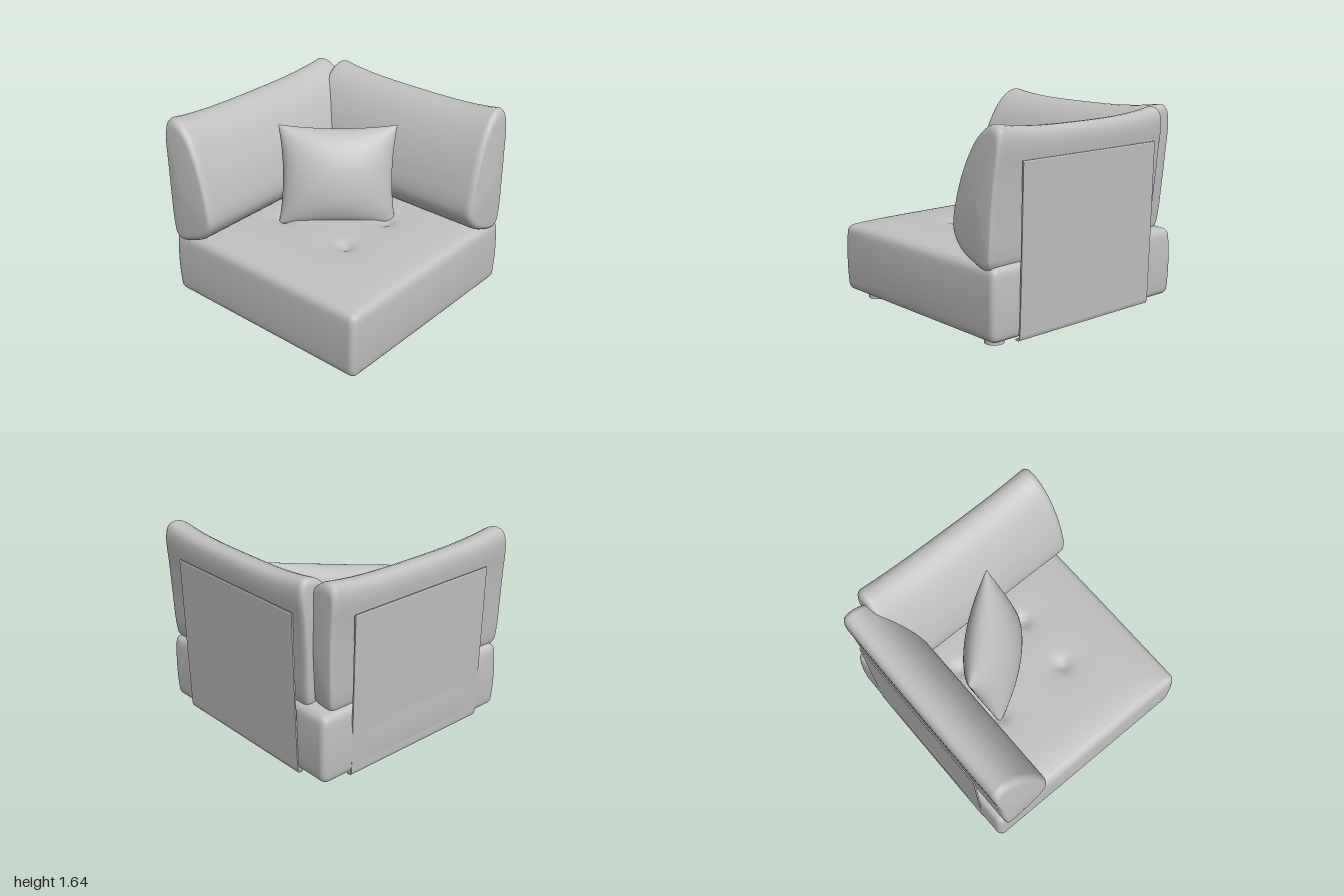
import * as THREE from 'three';
import { mergeVertices } from 'three/addons/utils/BufferGeometryUtils.js';

const fabric = new THREE.MeshStandardMaterial({ color: 0xc0c0c0 });
fabric.name = 'light grey';

function add(parent, name, geometry) {
  const mesh = new THREE.Mesh(geometry, fabric);
  mesh.name = name;
  parent.add(mesh);
  return mesh;
}

// Weld seams so that soft shapes shade smoothly
function smooth(geometry) {
  geometry.deleteAttribute('normal');
  geometry.deleteAttribute('uv');
  const welded = mergeVertices(geometry, 1e-5);
  welded.computeVertexNormals();
  return welded;
}

// Seat block: rounded box with puffed top, bulging sides and four tufts
function seatGeometry() {
  const half = new THREE.Vector3(0.95, 0.28, 0.965), r = 0.055;
  const g = new THREE.BoxGeometry(2, 2, 2, 84, 18, 84);
  const p = g.attributes.position;
  const v = new THREE.Vector3(), inner = new THREE.Vector3();
  const limit = half.clone().subScalar(r);
  for (let i = 0; i < p.count; i++) {
    v.fromBufferAttribute(p, i);
    for (const k of ['x', 'y', 'z']) v[k] = Math.sin(v[k] * Math.PI / 2) * half[k];
    inner.copy(v).clamp(limit.clone().negate(), limit);
    v.sub(inner).normalize().multiplyScalar(r);
    const onSurface = inner.add(v);
    const a = onSurface.x / half.x, b = onSurface.y / half.y, c = onSurface.z / half.z;
    let { x, y, z } = onSurface;
    x += a * 0.013 * (1 - b * b);
    z += c * 0.018 * (1 - b * b) * (1 - 0.5 * a * a);
    if (b > 0) {
      y += b * 0.055 * (1 - a ** 6) * (1 - c ** 6);
      for (const tx of [-0.26, 0.26]) for (const tz of [-0.38, 0.3]) {
        const d = Math.hypot(x - tx, z - tz);
        y -= b * (0.04 * Math.exp(-((d / 0.06) ** 2)) + 0.015 * Math.exp(-((d / 0.16) ** 2)));
      }
    }
    p.setXYZ(i, x, y + 0.34, z + 0.005);
  }
  return smooth(g);
}

// Wedge cushion: a leaning profile lofted along z with rounded ends
function cushionGeometry(centre, half, lean) {
  const profile = new THREE.CatmullRomCurve3([
    [0.86, 0.585], [0.73, 0.62], [0.58, 0.70], [0.495, 0.83], [0.525, 1.08], [0.63, 1.35], [0.76, 1.53],
    [0.88, 1.595], [0.965, 1.58], [0.988, 1.5], [0.965, 1.25], [0.945, 1.0], [0.925, 0.7], [0.905, 0.61],
  ].map(([x, y]) => new THREE.Vector3(x, y, 0)), true).getSpacedPoints(64).slice(0, 64);

  // Stations along the length: [position, section scale]
  const end = [];
  for (let i = 1; i <= 7; i++) {
    const a = i / 7 * Math.PI / 2;
    end.push([0.92 + 0.065 * Math.sin(a), 1 - 0.13 * (1 - Math.cos(a))]);
  }
  end.push([0.992, 0.65], [0.997, 0.3], [1, 0.001]);
  const rings = end.map(([t, f]) => [-t, f]).reverse();
  for (let i = 0; i <= 24; i++) rings.push([-0.92 + 1.84 * i / 24, 1]);
  rings.push(...end);

  const pos = [], index = [], n = profile.length;
  rings.forEach(([t, f], i) => profile.forEach((q, j) => {
    const x = 0.79 + (q.x - 0.79) * f;
    let y = 1.05 + (q.y - 1.05) * f;
    const up = (y - 1.1) / 0.5;
    if (up > 0) y += up * 0.06 * Math.abs(t) ** 3;
    pos.push(x, y, centre + t * (half - 0.015 * up * up) + lean * 0.022 * up);
    if (i < rings.length - 1) {
      const a = i * n + j, b = i * n + (j + 1) % n;
      index.push(a, a + n, b, b, a + n, b + n);
    }
  }));
  const g = new THREE.BufferGeometry();
  g.setAttribute('position', new THREE.Float32BufferAttribute(pos, 3));
  g.setIndex(index);
  g.computeVertexNormals();
  return g;
}

// Thin leaning support panel with a small lip hooked under the seat
function panelGeometry(from, to) {
  const s = new THREE.Shape([
    [0.915, 0.038], [0.945, 0.038], [0.958, 0.044], [0.966, 0.07], [0.982, 0.6], [1, 1.37], [0.997, 1.38],
    [0.989, 1.38], [0.986, 1.37], [0.97, 0.6], [0.954, 0.075], [0.945, 0.052], [0.915, 0.05],
  ].map(([x, y]) => new THREE.Vector2(x, y)));
  const g = new THREE.ExtrudeGeometry(s, { depth: to - from, bevelEnabled: false });
  return g.translate(0, 0, from);
}

// Square scatter pillow with concave edges and pointed corners
function pillowGeometry(w, h, thick) {
  const g = new THREE.BoxGeometry(2, 2, 2, 40, 40, 1);
  const p = g.attributes.position;
  for (let i = 0; i < p.count; i++) {
    const a = Math.sin(p.getX(i) * Math.PI / 2), b = Math.sin(p.getY(i) * Math.PI / 2);
    const puff = Math.sqrt(Math.max(0, (1 - a * a) * (1 - b * b)));
    p.setXYZ(i,
      a * w / 2 * (1 - 0.08 * (1 - b * b)),
      b * h / 2 * (1 - 0.08 * (1 - a * a)),
      p.getZ(i) * thick / 2 * puff);
  }
  return smooth(g);
}

export function createModel() {
  const model = new THREE.Group();
  model.name = 'cornerSofaModule';

  add(model, 'seat', seatGeometry());

  // Side and back share one construction, turned a quarter for the back
  add(model, 'sideCushion', cushionGeometry(0.105, 0.885, -1));
  add(model, 'backCushion', cushionGeometry(-0.055, 0.945, 1)).rotation.y = Math.PI / 2;
  add(model, 'sidePanel', panelGeometry(-0.67, 0.73));
  add(model, 'backPanel', panelGeometry(-0.71, 0.685)).rotation.y = Math.PI / 2;

  // Scatter pillow leaning into the corner
  const pillow = add(model, 'scatterPillow', pillowGeometry(0.99, 0.86, 0.42));
  const up = new THREE.Vector3(0.21, 0.96, -0.17).normalize();
  const normal = new THREE.Vector3(0.68, 0, 0.73).cross(up).normalize();
  const across = up.clone().cross(normal);
  pillow.quaternion.setFromRotationMatrix(new THREE.Matrix4().makeBasis(across, up, normal));
  pillow.position.set(0.13, 1.0, -0.12);

  // Short round feet
  for (const x of [-0.75, 0.76]) for (const z of [-0.77, 0.8]) {
    add(model, 'foot', new THREE.CylinderGeometry(0.077, 0.077, 0.07, 24)).position.set(x, 0.035, z);
  }
  return model;
}
